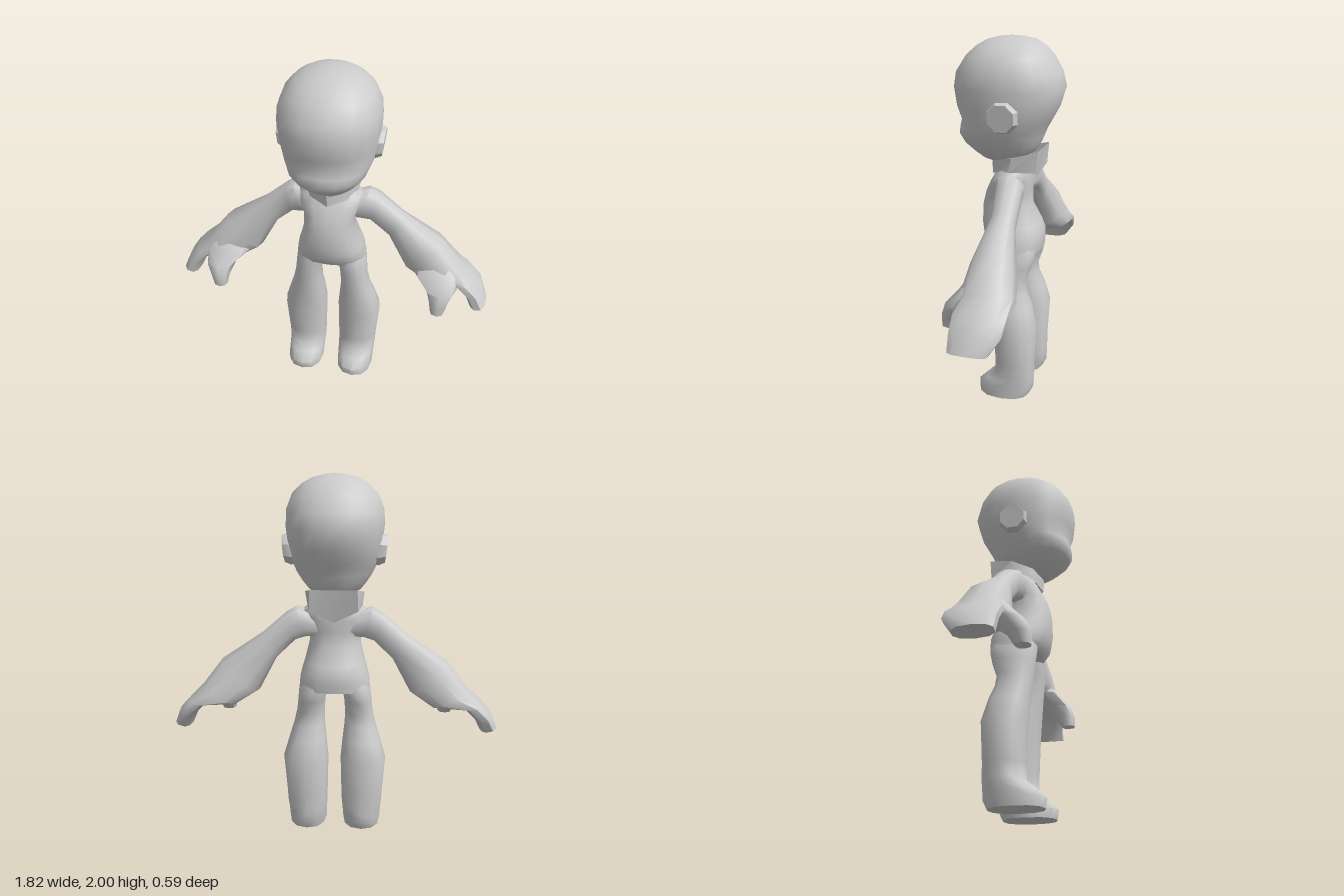
import * as THREE from 'three';
import { toCreasedNormals } from 'three/addons/utils/BufferGeometryUtils.js';

const material = new THREE.MeshStandardMaterial({ color: 0xcccccc });
const openMaterial = new THREE.MeshStandardMaterial({ color: 0xcccccc, side: THREE.DoubleSide });

// One closed cross-section between two xy points, reaching from zBack to zFront.
function ring([x0, y0], [x1, y1], zFront, zBack, sides, power) {
  const shape = (t) => Math.sign(t) * Math.abs(t) ** power;
  return Array.from({ length: sides }, (_, i) => {
    const a = (i / sides) * Math.PI * 2;
    const c = shape(Math.cos(a)), s = shape(Math.sin(a));
    return [
      (x0 + x1) / 2 + ((x1 - x0) / 2) * c,
      (y0 + y1) / 2 + ((y1 - y0) / 2) * c,
      (zFront + zBack) / 2 + ((zFront - zBack) / 2) * s,
    ];
  });
}

// Skin joining a list of cross-sections, closed at both ends unless open.
function loft(rings, { mirror = false, open = false, crease = 0.9 } = {}) {
  const n = rings[0].length, last = rings.length - 1;
  const points = rings.flat();
  const index = [];
  const face = (a, b, c) => index.push(...(mirror ? [a, b, c] : [a, c, b]));
  for (let k = 0; k < last; k++) {
    for (let i = 0; i < n; i++) {
      const j = (i + 1) % n, a = k * n, b = a + n;
      face(a + i, a + j, b + i);
      face(a + j, b + j, b + i);
    }
  }
  if (!open) {
    for (const k of [0, last]) {
      const mid = points.length;
      points.push([0, 1, 2].map((d) => rings[k].reduce((sum, p) => sum + p[d], 0) / n));
      for (let i = 0; i < n; i++) {
        const a = k * n + i, b = k * n + ((i + 1) % n);
        if (k === 0) face(mid, b, a);
        else face(mid, a, b);
      }
    }
  }
  const geometry = new THREE.BufferGeometry();
  const flat = points.flatMap(([x, y, z]) => [mirror ? -x : x, y, z]);
  geometry.setAttribute('position', new THREE.Float32BufferAttribute(flat, 3));
  geometry.setIndex(index);
  return toCreasedNormals(geometry, crease);
}

// Upright form from rows of [y, xInner, xOuter, zFront, zBack].
const upright = (rows, sides, power) =>
  rows.map(([y, x0, x1, zf, zb]) => ring([x0, y], [x1, y], zf, zb, sides, power));
// Same, symmetric about x = 0, from rows of [y, halfWidth, zFront, zBack].
const symmetric = (rows, sides, power) =>
  upright(rows.map(([y, w, zf, zb]) => [y, -w, w, zf, zb]), sides, power);

const headRows = [
  [1.342, 0.045, 0.11, 0.0], [1.36, 0.09, 0.145, -0.06], [1.4, 0.145, 0.195, -0.14],
  [1.45, 0.185, 0.25, -0.172], [1.49, 0.21, 0.272, -0.187], [1.53, 0.226, 0.266, -0.205],
  [1.57, 0.24, 0.255, -0.227], [1.64, 0.252, 0.28, -0.265], [1.74, 0.262, 0.295, -0.295],
  [1.82, 0.258, 0.281, -0.275], [1.9, 0.225, 0.228, -0.23], [1.95, 0.175, 0.175, -0.185],
  [1.98, 0.12, 0.12, -0.14], [1.995, 0.06, 0.06, -0.08], [2, 0.02, 0.01, -0.03],
];

const torsoRows = [
  [0.85, 0.197, 0.085, -0.185], [0.9, 0.194, 0.125, -0.193], [0.95, 0.183, 0.138, -0.192],
  [1.0, 0.167, 0.147, -0.175], [1.1, 0.142, 0.145, -0.122], [1.18, 0.145, 0.125, -0.122],
  [1.24, 0.17, 0.095, -0.125], [1.29, 0.175, 0.065, -0.12], [1.315, 0.13, 0.05, -0.115],
  [1.4, 0.09, 0.05, -0.11],
];

const legRows = [
  [0, 0.05, 0.265, 0.13, -0.16], [0.05, 0.047, 0.268, 0.138, -0.185],
  [0.1, 0.045, 0.27, 0.085, -0.187], [0.14, 0.043, 0.272, 0.037, -0.187],
  [0.22, 0.04, 0.276, 0.035, -0.187], [0.43, 0.035, 0.292, 0.043, -0.197],
  [0.55, 0.047, 0.256, 0.056, -0.168], [0.63, 0.056, 0.231, 0.064, -0.137],
  [0.7, 0.058, 0.215, 0.072, -0.13], [0.78, 0.052, 0.206, 0.08, -0.158],
  [0.85, 0.035, 0.199, 0.087, -0.175], [0.93, 0.03, 0.165, 0.08, -0.15],
];

// Arm and mitten hand: [upper xy], [lower xy], zFront, zBack.
const armRows = [
  [[0.06, 1.26], [0.06, 1.14], 0.03, -0.1], [[0.205, 1.309], [0.16, 1.135], 0.035, -0.122],
  [[0.26, 1.278], [0.215, 1.12], 0.015, -0.128], [[0.39, 1.165], [0.32, 1.02], 0, -0.13],
  [[0.62, 1.01], [0.42, 0.83], 0.045, -0.18], [[0.73, 0.868], [0.53, 0.765], 0.062, -0.212],
  [[0.81, 0.785], [0.7, 0.775], 0.062, -0.214], [[0.87, 0.72], [0.775, 0.7], 0.06, -0.205],
  [[0.908, 0.638], [0.815, 0.613], 0.055, -0.145],
];

const thumbRows = [
  [0.643, 0.597, 0.675, 0.165, 0.085], [0.7, 0.585, 0.69, 0.167, 0.05],
  [0.765, 0.555, 0.73, 0.145, -0.04], [0.83, 0.47, 0.74, 0.085, -0.1],
  [0.92, 0.5, 0.66, 0.02, -0.1],
];

// Neck band with a pointed dip at front and back: [x, y, z] around each edge.
const collarRings = [
  [[0.15, 1.31, -0.03], [0.1, 1.29, 0.06], [0, 1.26, 0.1], [-0.1, 1.29, 0.06],
    [-0.15, 1.31, -0.03], [-0.13, 1.31, -0.175], [0, 1.238, -0.14], [0.13, 1.31, -0.175]],
  [[0.16, 1.39, -0.05], [0.1, 1.36, 0.06], [0, 1.33, 0.105], [-0.1, 1.36, 0.06],
    [-0.16, 1.39, -0.05], [-0.125, 1.425, -0.185], [0, 1.425, -0.185], [0.125, 1.425, -0.185]],
];

// Eight-sided ear tapering outward, its face leaning in at the bottom.
function earRings() {
  return [[0.2, 0.08, 0], [0.238, 0.088, 0.008], [0.272, 0.074, 0.008]].map(([x, r, lean]) =>
    Array.from({ length: 8 }, (_, i) => {
      const a = ((i + 0.5) / 8) * Math.PI * 2;
      return [x + lean * Math.sin(a), 1.615 + r * Math.sin(a), -0.025 + r * Math.cos(a)];
    }));
}

export function createModel() {
  const model = new THREE.Group();
  model.name = 'figure';
  const add = (name, geometry, mat = material) => {
    const mesh = new THREE.Mesh(geometry, mat);
    mesh.name = name;
    model.add(mesh);
  };

  add('head', loft(symmetric(headRows, 20, 0.88), { crease: 1.1 }));
  add('torso', loft(symmetric(torsoRows, 16, 0.82), { crease: 1.1 }));
  add('collar', loft(collarRings, { open: true, crease: 0.7 }), openMaterial);

  // Paired parts, the right ones mirrored from the left
  for (const [side, mirror] of [['left', false], ['right', true]]) {
    const arm = armRows.map(([up, low, zf, zb]) => ring(low, up, zf, zb, 10, 0.8));
    // Reversed so the rings run from fingertips to shoulder
    add(`${side}Arm`, loft(arm.reverse(), { mirror }));
    add(`${side}Thumb`, loft(upright(thumbRows, 8, 0.85), { mirror, crease: 1.1 }));
    add(`${side}Leg`, loft(upright(legRows, 12, 0.85), { mirror, crease: 1.0 }));
    add(`${side}Ear`, loft(earRings(), { mirror, crease: 0.7 }));
  }
  return model;
}
